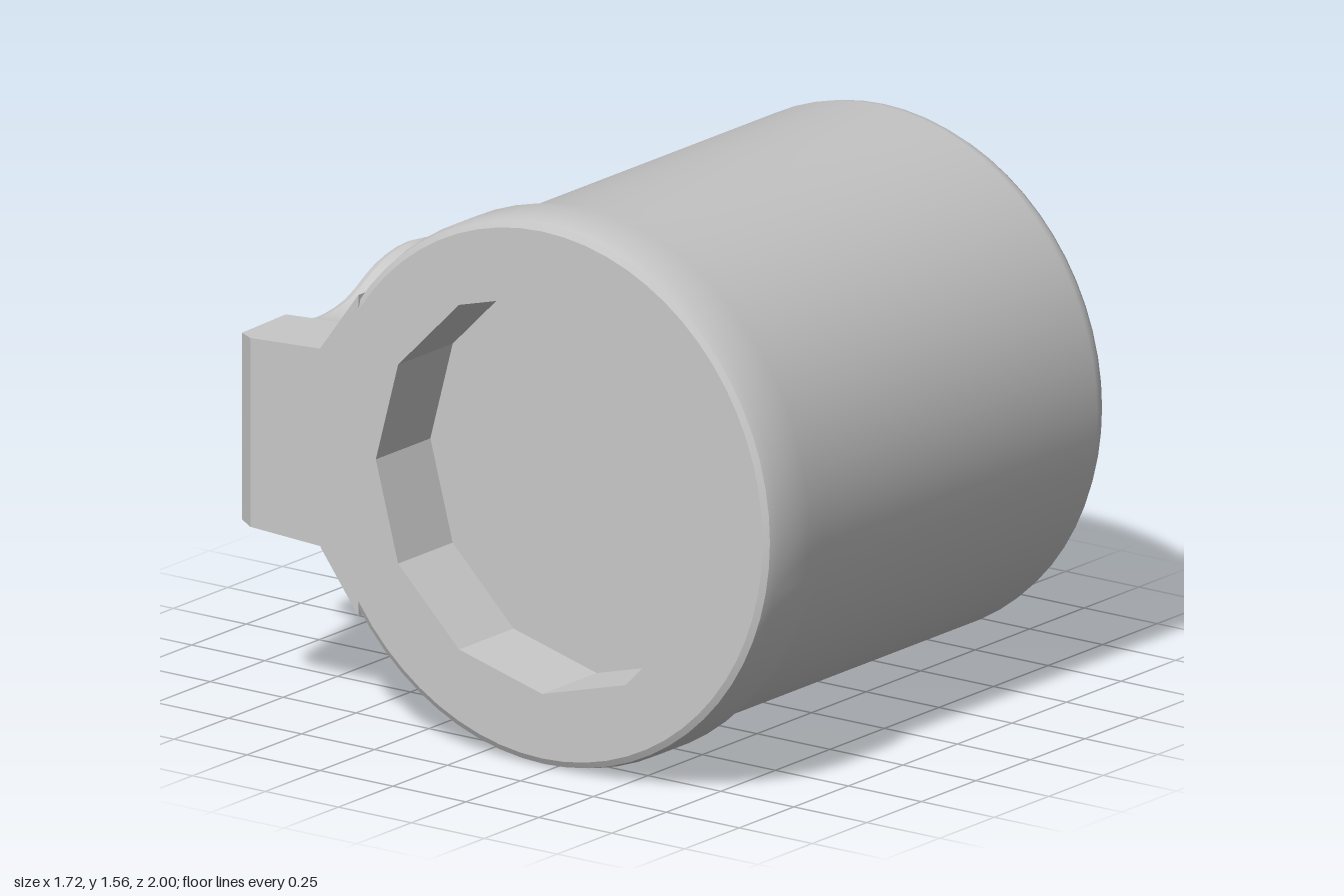
import * as THREE from 'three';
import { toCreasedNormals } from 'three/addons/utils/BufferGeometryUtils.js';

const CY = 0.78, CZ = 0.22; // axis of the drum, which runs along x

export function createModel() {
  const group = new THREE.Group();
  const grey = new THREE.MeshStandardMaterial({ color: 0xc8c8c8 });
  grey.name = 'lightGrey';

  const add = (name, geometry, x = 0, y = 0, z = 0, crease = 0.5) => {
    const mesh = new THREE.Mesh(toCreasedNormals(geometry, crease), grey);
    mesh.name = name;
    mesh.position.set(x, y, z);
    group.add(mesh);
  };
  const vectors = (pairs) => pairs.map(([a, b]) => new THREE.Vector2(a, b));
  const lathe = (pairs, sides) => new THREE.LatheGeometry(vectors(pairs), sides);
  const extrude = (shape, depth, bevel = 0, steps = 1) => new THREE.ExtrudeGeometry(shape, {
    depth: depth - 2 * bevel, bevelEnabled: bevel > 0, bevelThickness: bevel,
    bevelSize: bevel, bevelOffset: -bevel, bevelSegments: 2, steps,
  }).translate(0, 0, bevel);

  // Moves every vertex of a geometry by a rule
  const warp = (geometry, rule) => {
    const p = geometry.attributes.position;
    const v = new THREE.Vector3();
    for (let i = 0; i < p.count; i++) {
      rule(v.fromBufferAttribute(p, i));
      p.setXYZ(i, v.x, v.y, v.z);
    }
    return geometry;
  };

  // Drum with a raised rim, a bevelled far end and a slightly domed cap
  add('drum', lathe([
    [0.70, -0.86], [0.755, -0.86], [0.773, -0.85], [0.78, -0.82], [0.78, -0.68],
    [0.75, -0.57], [0.75, 0.68], [0.745, 0.705], [0.73, 0.73], [0.62, 0.82],
    [0.59, 0.833], [0.3, 0.852], [0, 0.86],
  ], 64).rotateZ(-Math.PI / 2), 0, CY, CZ);

  // Faceted socket sunk into the rim end
  add('socket', lathe([[0, -0.61], [0.57, -0.61], [0.57, -0.86], [0.74, -0.86]], 12)
    .rotateZ(-Math.PI / 2), 0, CY, CZ, 0.3);

  // Flange that runs off the rim at a tangent, narrowing with it towards the drum
  const flange = new THREE.Shape(vectors([
    [0.63, -0.46], [0.76, -0.285], [0.76, 0.285], [0.63, 0.46],
  ]));
  add('rimFlange', warp(extrude(flange, 0.29, 0, 3), (v) => {
    if (v.z > 0.28) v.set(v.x * 0.95, v.y * 0.95, v.z);
  }).rotateY(Math.PI / 2), -0.86, CY, CZ);

  // Arm leading back to the hinge plate, slightly slimmer towards the back
  const arm = new THREE.Shape(vectors([
    [-0.86, 0.5], [-0.64, 0.5], [-0.61, 0.69], [-0.61, 0.845], [-0.825, 0.835], [-0.86, 0.78],
  ]));
  add('arm', warp(extrude(arm, 2).translate(0, 0, -1).rotateX(-Math.PI / 2), (v) => {
    v.y *= 0.285 - 0.06 * Math.max(0, -v.z - 0.54);
  }), 0, CY, 0);

  // Hinge plate: mirrored outline with a middle bulge and a rounded end
  const upper = [
    [0.61, 0.1], [0.53, 0.205], [0.38, 0.26], [0.22, 0.275], [0.1, 0.325], [-0.07, 0.357],
    [-0.22, 0.33], [-0.36, 0.26], [-0.5, 0.24], [-0.62, 0.265],
  ];
  const lower = upper.map(([x, y]) => [x, -y]).reverse();
  const curve = new THREE.SplineCurve(vectors([...lower, [0.625, 0], ...upper]));
  const plate = new THREE.Shape([
    ...vectors([[-0.78, 0.26], [-0.78, -0.26]]), ...curve.getPoints(60),
  ]);
  const hole = 0.04;
  plate.holes.push(new THREE.Path(vectors([
    [-0.07 + hole, 0], [-0.07, -hole], [-0.07 - hole, 0], [-0.07, hole],
  ])));
  add('hingePlate', extrude(plate, 0.15, 0.03), 0, CY, -0.84, 0.35);

  // Tapered studs on the back of the plate
  for (const x of [-0.508, 0.365]) {
    add('stud', lathe([
      [0.14, 0.82], [0.132, 0.85], [0.098, 0.97], [0.078, 0.995], [0, 1.0],
    ], 10).rotateX(-Math.PI / 2), x, CY, 0, 0.7);
  }
  return group;
}
